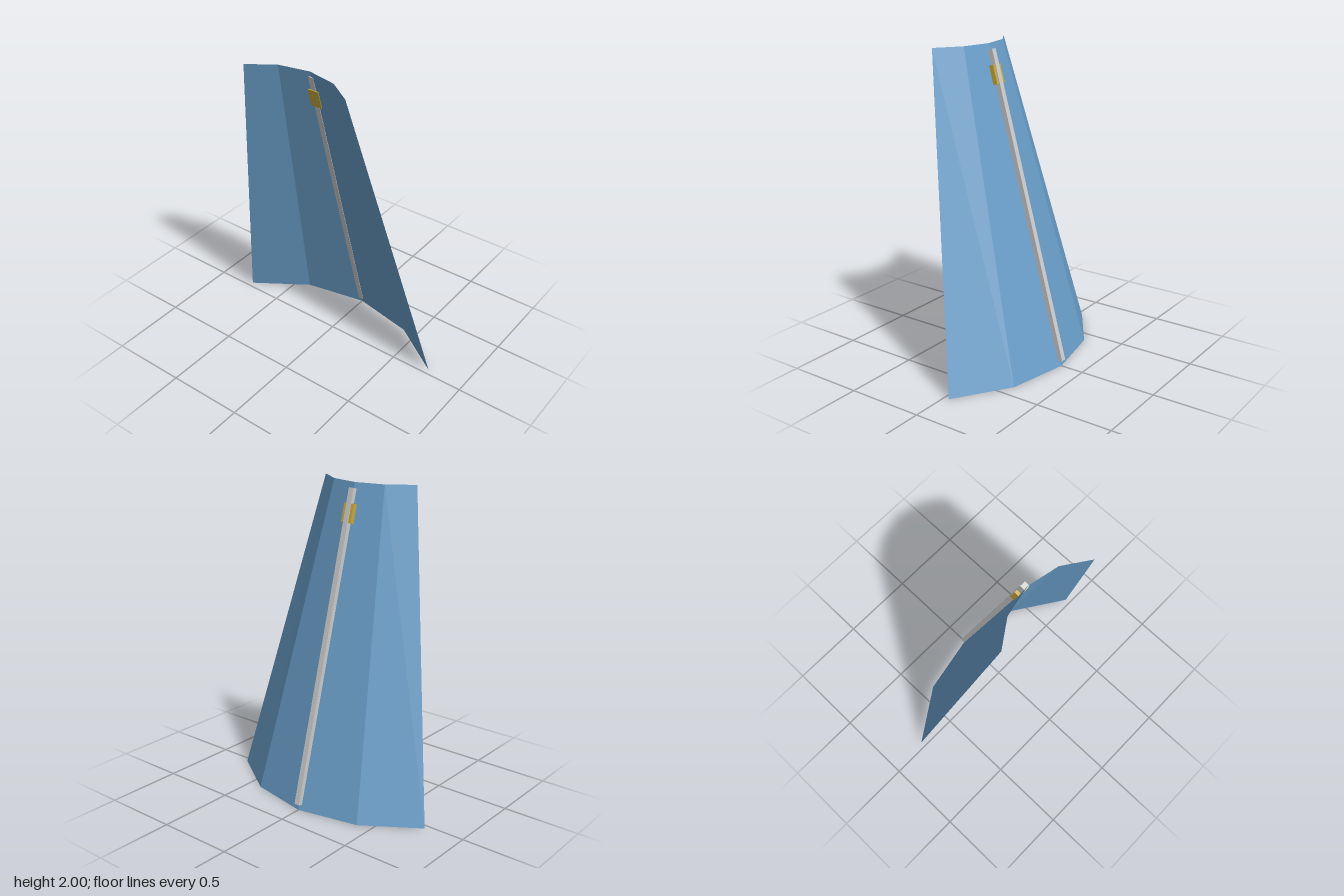
import * as THREE from 'three';

const HEIGHT = 2;
// Half cross-sections [x, z] from the outer edge to the centre fold
const HEM = [[0.75, -0.035], [0.405, -0.265], [0, -0.345]];
const COLLAR = [[0.355, 0.36], [0.195, 0.25], [0, 0.21]];

// Mirror a half section into a full one running from +x to -x
function fullSection(half) {
  return [...half, ...half.slice(0, -1).reverse().map(([x, z]) => [-x, z])];
}

// Faceted sheet lofted between the hem and the collar
function createSheet() {
  const low = fullSection(HEM), high = fullSection(COLLAR);
  const positions = [], index = [];
  low.forEach(([x, z], i) => {
    positions.push(x, 0, z, high[i][0], HEIGHT, high[i][1]);
    if (i > 0) {
      const a = 2 * (i - 1);
      index.push(a, a + 1, a + 2, a + 1, a + 3, a + 2);
    }
  });
  const geometry = new THREE.BufferGeometry();
  geometry.setAttribute('position', new THREE.Float32BufferAttribute(positions, 3));
  geometry.setIndex(index);
  geometry.computeVertexNormals();
  const material = new THREE.MeshStandardMaterial({
    color: 0x6a9fca, flatShading: true, side: THREE.DoubleSide,
  });
  const mesh = new THREE.Mesh(geometry, material);
  mesh.name = 'sheet';
  return mesh;
}

function createBar(name, size, y, z, color) {
  const mesh = new THREE.Mesh(
    new THREE.BoxGeometry(...size),
    new THREE.MeshStandardMaterial({ color })
  );
  mesh.name = name;
  mesh.position.set(0, y, z);
  return mesh;
}

export function createModel() {
  const model = new THREE.Group();
  model.name = 'foldedSheet';
  model.add(createSheet());

  // Spine and clasp lie along the sloping centre fold
  const zLow = HEM[2][1], zHigh = COLLAR[2][1];
  const spineGroup = new THREE.Group();
  spineGroup.name = 'spineAssembly';
  spineGroup.position.set(0, HEIGHT / 2, (zLow + zHigh) / 2);
  spineGroup.rotation.x = Math.atan2(zHigh - zLow, HEIGHT);
  spineGroup.add(
    createBar('spine', [0.036, 2, 0.034], 0, -0.011, 0xcccccc),
    createBar('clasp', [0.075, 0.12, 0.034], 0.846, -0.006, 0xc9a93a)
  );
  model.add(spineGroup);
  return model;
}
